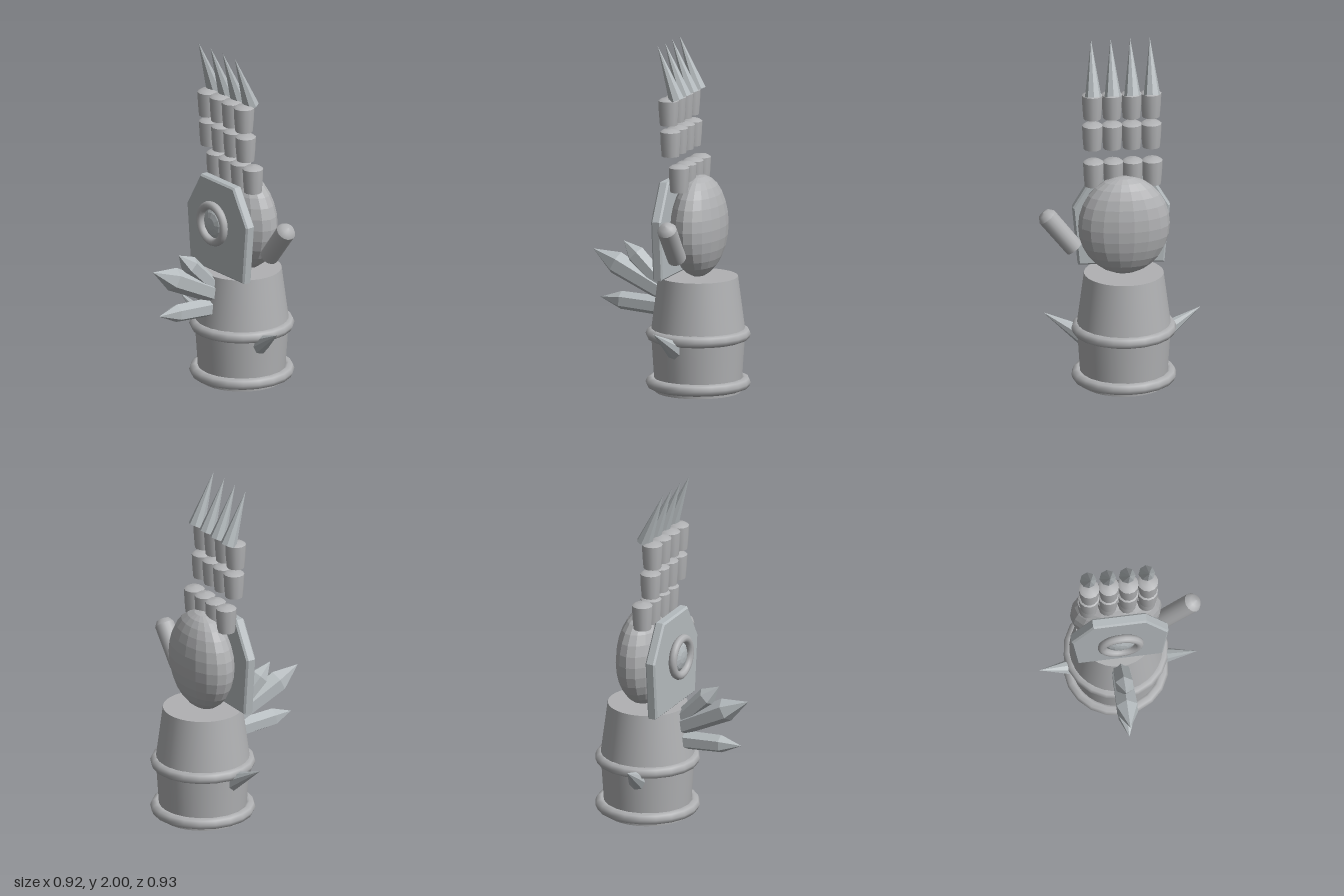
import * as THREE from 'three';

const CX = -0.015; // the gauntlet's axis in x
const ARM_Z = -0.17; // the forearm's axis in z

export function createModel() {
  const model = new THREE.Group();
  const steel = new THREE.MeshStandardMaterial({ color: 0xb0b1b3, side: THREE.DoubleSide });
  steel.name = 'steel';
  const paleSteel = new THREE.MeshStandardMaterial({ color: 0xb4babd });
  paleSteel.name = 'pale steel';

  function add(name, geometry, material, x = 0, y = 0, z = 0) {
    const mesh = new THREE.Mesh(geometry, material);
    mesh.name = name;
    mesh.position.set(x, y, z);
    model.add(mesh);
    return mesh;
  }

  // Faceted copy of a geometry
  const facet = (geometry) => {
    const g = geometry.toNonIndexed();
    g.computeVertexNormals();
    return g;
  };
  const lathe = (points, sides) =>
    new THREE.LatheGeometry(points.map(([r, y]) => new THREE.Vector2(r, y)), sides);

  // Turned part running from one point to another; profile heights are 0..1
  function addBetween(name, from, to, profile, sides, material, flat) {
    const a = new THREE.Vector3(...from);
    const dir = new THREE.Vector3(...to).sub(a);
    const len = dir.length();
    let geometry = lathe(profile.map(([r, t]) => [r, t * len]), sides);
    if (flat) geometry = facet(geometry);
    const mesh = add(name, geometry, material, ...from);
    mesh.quaternion.setFromUnitVectors(new THREE.Vector3(0, 1, 0), dir.normalize());
    return mesh;
  }

  // Forearm cuff: two open tapered sleeves, a closed top and two rolled rims
  add('lowerCuff', new THREE.CylinderGeometry(0.265, 0.243, 0.33, 32, 1, true), steel, CX, 0.165, ARM_Z);
  add('upperCuff', new THREE.CylinderGeometry(0.225, 0.268, 0.33, 32, 1, true), steel, CX, 0.495, ARM_Z);
  const lid = add('cuffTop', new THREE.CircleGeometry(0.225, 32), steel, CX, 0.66, ARM_Z);
  lid.rotation.x = -Math.PI / 2;
  for (const y of [0.052, 0.33]) {
    const rim = add('cuffRim', new THREE.TorusGeometry(0.263, 0.034, 8, 20), steel, CX, y, ARM_Z);
    rim.rotation.x = Math.PI / 2;
  }

  // Side spikes
  for (const s of [-1, 1]) {
    addBetween('sideSpike', [CX + s * 0.225, 0.27, -0.12], [CX + s * 0.447, 0.4, -0.075],
      [[0, 0], [0.055, 0], [0, 1]], 8, paleSteel, true);
  }

  // Cluster of crystals on the front of the cuff: root, tip, root radius, widest radius
  const crystals = [
    [[0.6, 0.05], [0.83, 0.28], 0.05, 0.056],
    [[0.55, 0.03], [0.77, 0.465], 0.058, 0.068],
    [[0.47, 0.03], [0.495, 0.42], 0.056, 0.052],
  ];
  for (const [[y0, z0], [y1, z1], r0, r1] of crystals) {
    addBetween('crystal', [CX, y0, z0], [CX, y1, z1],
      [[0, 0], [r0, 0], [r1, 0.68], [0, 1]], 6, paleSteel, true);
  }

  // Rounded hand behind the plate
  const hand = new THREE.SphereGeometry(1, 18, 14);
  hand.scale(0.26, 0.29, 0.145);
  add('hand', facet(hand), steel, CX, 0.95, -0.178);

  // Palm plate with cut upper corners and a narrow bevel
  const half = [[0.235, 0.675], [0.266, 1.005], [0.146, 1.204]];
  const outline = [...half, ...half.map(([x, y]) => [-x, y]).reverse()];
  const plate = new THREE.ExtrudeGeometry(
    new THREE.Shape(outline.map(([x, y]) => new THREE.Vector2(x, y))),
    { depth: 0.04, bevelEnabled: true, bevelThickness: 0.01, bevelSize: 0.01, bevelSegments: 1 });
  add('palmPlate', plate, paleSteel, CX, 0, -0.04);

  // Round emblem mount: ring and domed centre
  const ring = new THREE.TorusGeometry(0.107, 0.024, 10, 28);
  add('mountRing', ring, steel, CX, 0.967, 0.042);
  const dome = new THREE.SphereGeometry(1, 12, 8);
  dome.rotateX(Math.PI / 2);
  dome.scale(0.094, 0.094, 0.045);
  add('mountDome', facet(dome), paleSteel, CX, 0.967, 0.015);

  // Fingers: three separate joints and a hooked claw each
  const joint = lathe([[0, 0], [0.05, 0], [0.05, 0], [0.056, 0.07], [0.059, 0.14],
    [0.059, 0.14], [0.04, 0.153], [0, 0.158]], 12);
  const rows = [[1.17, -0.12], [1.372, -0.068], [1.55, -0.057]];
  for (let i = 0; i < 4; i++) {
    const x = CX + (i - 1.5) * 0.111;
    for (const [y, z] of rows) add('fingerJoint', joint, steel, x, y, z);
    addBetween('claw', [x, 1.695, -0.105], [x, 2, 0.01],
      [[0, 0], [0.047, 0], [0, 1]], 8, paleSteel, true);
  }

  // Thumb
  addBetween('thumb', [0.264, 0.81, -0.15], [0.44, 1.03, -0.15],
    [[0, 0], [0.054, 0], [0.054, 0], [0.056, 0.87], [0.056, 0.87], [0.036, 0.97], [0, 1]], 16, steel, false);

  return model;
}
